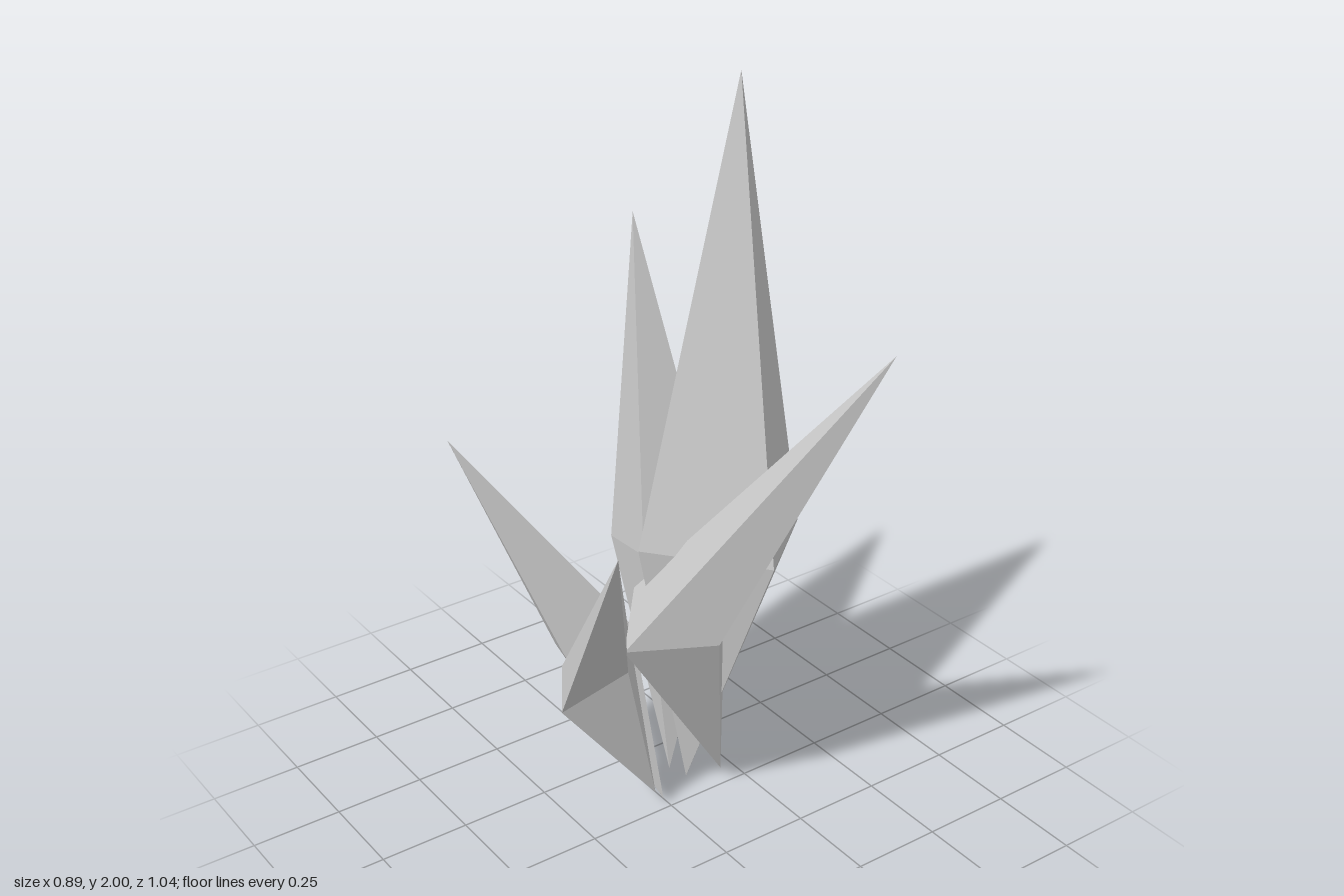
import * as THREE from 'three';

const material = new THREE.MeshStandardMaterial({ color: 0xcccccc, flatShading: true });

// A four-sided shard: a ring of corners (counterclockwise from above) joined to a tip and a base point
function shard(name, tip, base, ring) {
  const positions = [];
  ring.forEach((corner, i) => {
    const next = ring[(i + 1) % ring.length];
    positions.push(...corner, ...next, ...tip);
    positions.push(...next, ...corner, ...base);
  });
  const geometry = new THREE.BufferGeometry();
  geometry.setAttribute('position', new THREE.Float32BufferAttribute(positions, 3));
  geometry.computeVertexNormals();
  const mesh = new THREE.Mesh(geometry, material);
  mesh.name = name;
  return mesh;
}

export function createModel() {
  const group = new THREE.Group();
  group.name = 'crystalCluster';

  // Tall central crystal
  group.add(shard('tallCrystal', [0.235, 2, -0.047], [0.1, 0.015, -0.07], [
    [0.445, 0.73, -0.04], [0.215, 0.77, -0.31], [-0.05, 0.78, -0.075], [0.195, 0.76, 0.175],
  ]));

  // Crystal leaning to the front
  group.add(shard('frontCrystal', [0.257, 1.47, 0.52], [0.175, 0.045, -0.012], [
    [0.167, 0.66, 0.01], [-0.02, 0.63, -0.14], [-0.17, 0.575, 0.033], [0.013, 0.61, 0.19],
  ]));

  // Crystal leaning to the back
  group.add(shard('backCrystal', [0.247, 1.5, -0.52], [0.095, 0, -0.142], [
    [0.37, 0.535, -0.42], [0.13, 0.585, -0.47], [0.08, 0.645, -0.24], [0.325, 0.595, -0.2],
  ]));

  // Two small crystals on the right side
  group.add(shard('backSideCrystal', [-0.445, 1.11, -0.33], [-0.015, 0.02, -0.015], [
    [0.03, 0.45, -0.275], [-0.15, 0.405, -0.33], [-0.23, 0.49, -0.16], [-0.05, 0.54, -0.105],
  ]));
  group.add(shard('frontSideCrystal', [-0.345, 1.02, 0.272], [-0.035, 0.045, -0.025], [
    [-0.07, 0.56, -0.1], [-0.23, 0.45, -0.17], [-0.31, 0.4, -0.05], [-0.15, 0.5, 0.02],
  ]));

  return group;
}
